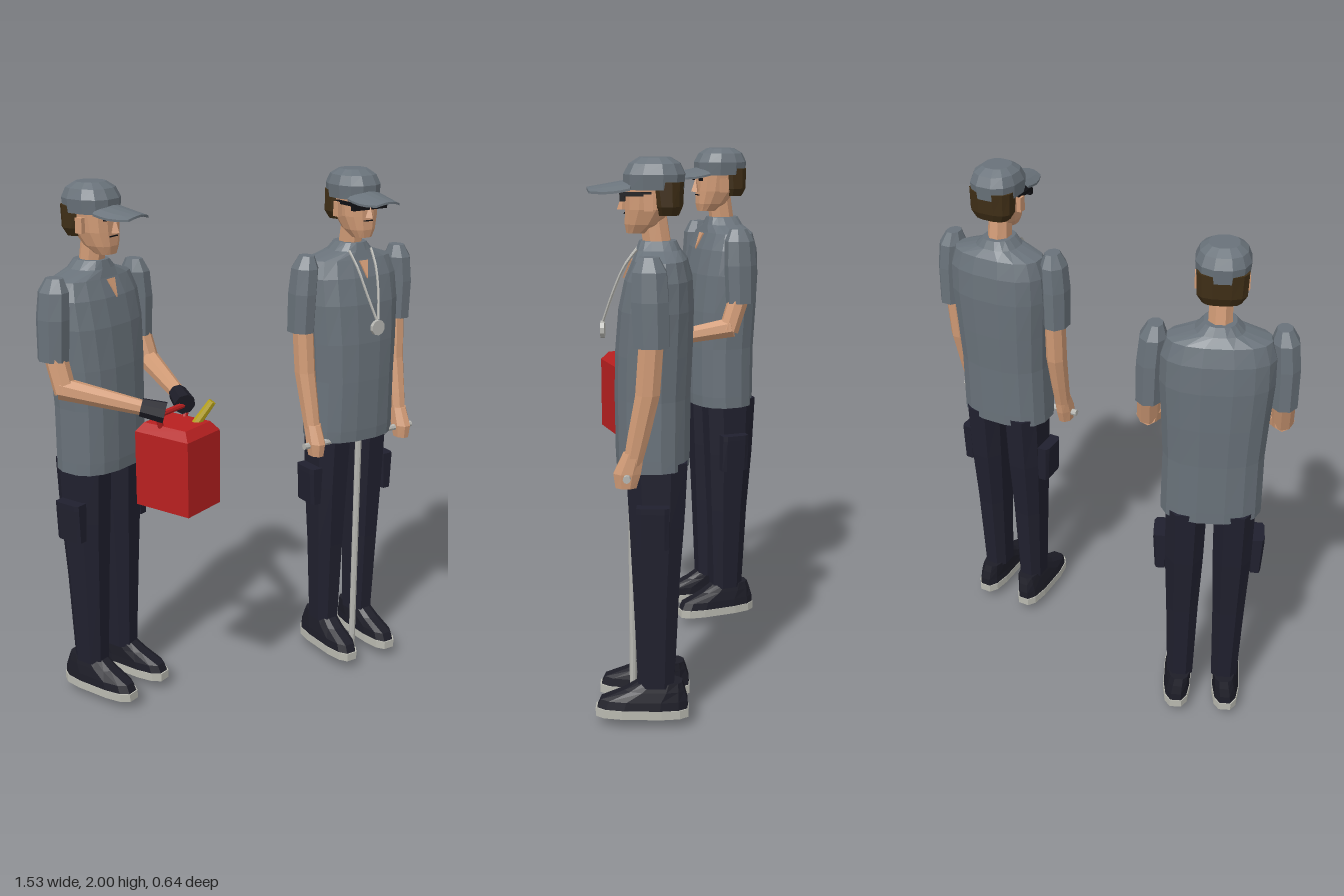
import * as THREE from 'three';

const mat = (name, color) => Object.assign(new THREE.MeshStandardMaterial({ color }), { name });
const M = {
  shirt: mat('slate cloth', 0x69727a), pants: mat('dark navy cloth', 0x20202e),
  shoe: mat('dark leather', 0x1d1d27), skin: mat('skin', 0xd19b76),
  hair: mat('brown hair', 0x3f2e16), sole: mat('pale rubber', 0xb9b9b0),
  silver: mat('silver', 0xb5b5b0), red: mat('red paint', 0xb82020),
  yellow: mat('yellow plastic', 0xb5a017), black: mat('black', 0x101014),
};

// Faceted mesh: every face gets its own normal
function add(parent, name, geo, material) {
  const g = geo.index ? geo.toNonIndexed() : geo;
  g.computeVertexNormals();
  const m = new THREE.Mesh(g, material);
  m.name = name;
  parent.add(m);
  return m;
}

// Closed solid through horizontal rings, rows of [y, centreX, centreZ, halfWidth, halfDepth]
function loft(rows, n = 8, p = 1) {
  const pos = [], idx = [];
  const pw = v => Math.sign(v) * Math.abs(v) ** p;
  for (const [y, cx, cz, rx, rz] of rows)
    for (let i = 0; i < n; i++) {
      const a = (i + 0.5) / n * Math.PI * 2;
      pos.push(cx + rx * pw(Math.cos(a)), y, cz + rz * pw(Math.sin(a)));
    }
  for (let r = 0; r < rows.length - 1; r++)
    for (let i = 0; i < n; i++) {
      const a = r * n + i, b = r * n + (i + 1) % n;
      idx.push(a, a + n, b, b, a + n, b + n);
    }
  const top = (rows.length - 1) * n;
  for (let i = 1; i < n - 1; i++) idx.push(0, i, i + 1, top, top + i + 1, top + i);
  const g = new THREE.BufferGeometry();
  g.setAttribute('position', new THREE.Float32BufferAttribute(pos, 3));
  g.setIndex(idx);
  return g;
}

// Rows of [y, halfWidth, front, back] centred on x = 0
const body = (rows, n, p) => loft(rows.map(([y, w, f, b]) => [y, 0, (f + b) / 2, w, (f - b) / 2]), n, p);

// Tapered rod between two points
function rod(a, b, ra, rb, n = 8) {
  const A = new THREE.Vector3(...a), d = new THREE.Vector3(...b).sub(A);
  const g = new THREE.CylinderGeometry(rb, ra, d.length(), n);
  g.applyQuaternion(new THREE.Quaternion().setFromUnitVectors(new THREE.Vector3(0, 1, 0), d.clone().normalize()));
  return g.translate(A.x + d.x / 2, A.y + d.y / 2, A.z + d.z / 2);
}

const box = (w, h, d, x, y, z) => new THREE.BoxGeometry(w, h, d).translate(x, y, z);

// Cap visor, tapered to the tip, arched across and sloping down
function brim() {
  const g = new THREE.BoxGeometry(0.165, 0.008, 0.15, 6, 1, 4), P = g.attributes.position;
  for (let i = 0; i < P.count; i++) {
    const t = P.getZ(i) / 0.15 + 0.5, x = P.getX(i) * (1 - 0.35 * t ** 3);
    P.setXYZ(i, x, P.getY(i) + 1.925 - 0.027 * t - 4 * x * x, 0.065 + 0.15 * t - 4 * t * x * x);
  }
  return g;
}

function head(man) {
  const h = new THREE.Group();
  h.name = 'head';
  man.add(h);
  add(h, 'neck', loft([[1.68, 0, -0.025, 0.045, 0.05], [1.81, 0, -0.005, 0.042, 0.05]]), M.skin);
  add(h, 'face', body([[1.75, 0.036, 0.084, 0.015], [1.78, 0.055, 0.09, -0.03],
    [1.83, 0.071, 0.088, -0.07], [1.92, 0.078, 0.086, -0.09]], 12, 0.75), M.skin);
  add(h, 'nose', new THREE.ConeGeometry(0.019, 0.055, 4).translate(0, 1.855, 0.096), M.skin);
  add(h, 'mouth', box(0.04, 0.004, 0.006, 0, 1.815, 0.088), M.black);
  for (const s of [-1, 1]) add(h, 'ear', box(0.018, 0.055, 0.03, s * 0.082, 1.855, 0.005), M.skin);
  add(h, 'hair', body([[1.81, 0.066, -0.015, -0.095], [1.84, 0.085, -0.005, -0.108],
    [1.92, 0.088, 0.01, -0.112]], 12, 0.75), M.hair);
  add(h, 'capCrown', body([[1.895, 0.089, 0.093, -0.113], [1.945, 0.094, 0.095, -0.117],
    [1.98, 0.08, 0.075, -0.1], [2.0, 0.052, 0.042, -0.066]], 12, 0.85), M.shirt);
  add(h, 'capBrim', brim(), M.shirt);
  return h;
}

// Parts shared by both men
function makeMan(name, x, z, turn) {
  const man = new THREE.Group();
  man.name = name;
  man.position.set(x, 0, z);
  man.rotation.y = turn;
  head(man);
  add(man, 'shirt', body([[0.955, 0.184, 0.123, -0.132], [1.0, 0.184, 0.126, -0.133], [1.2, 0.182, 0.128, -0.135],
    [1.35, 0.19, 0.125, -0.142], [1.5, 0.2, 0.112, -0.146], [1.6, 0.198, 0.09, -0.14],
    [1.665, 0.178, 0.062, -0.122], [1.695, 0.085, 0.052, -0.1], [1.725, 0.056, 0.042, -0.085]], 16, 0.8), M.shirt);
  // Open neck
  const vee = new THREE.Shape([[-0.02, 0.035], [0, -0.035], [0.02, 0.035]].map(q => new THREE.Vector2(...q)));
  const neckline = add(man, 'openNeck', new THREE.ExtrudeGeometry(vee, { depth: 0.006, bevelEnabled: false }), M.skin);
  neckline.position.set(0, 1.628, 0.079);
  neckline.rotation.x = -0.4;
  for (const s of [-1, 1]) {
    add(man, 'sleeve', loft([[1.4, s * 0.232, -0.01, 0.05, 0.062], [1.55, s * 0.23, -0.006, 0.052, 0.066],
      [1.645, s * 0.222, -0.004, 0.05, 0.06], [1.692, s * 0.216, -0.002, 0.028, 0.035]]), M.shirt);
    add(man, 'trouserLeg', loft([[0.15, s * 0.087, -0.015, 0.053, 0.068], [0.5, s * 0.088, -0.016, 0.064, 0.084],
      [0.75, s * 0.088, -0.02, 0.075, 0.1], [0.98, s * 0.087, -0.02, 0.079, 0.112]], 8, 0.8), M.pants);
    add(man, 'cargoPocket', loft([[0.69, s * 0.175, -0.01, 0.022, 0.058], [0.82, s * 0.175, -0.01, 0.03, 0.058],
      [0.84, s * 0.175, -0.01, 0.03, 0.058]], 8, 0.4), M.pants);
    add(man, 'sole', loft([[0.038, s * 0.097, 0.035, 0.055, 0.17], [0.07, s * 0.097, 0.035, 0.055, 0.17]], 12, 0.65), M.sole);
    add(man, 'shoe', loft([[0.07, s * 0.097, 0.034, 0.053, 0.166], [0.1, s * 0.096, 0.028, 0.05, 0.158],
      [0.135, s * 0.092, -0.01, 0.046, 0.11], [0.165, s * 0.088, -0.03, 0.042, 0.08]], 12, 0.7), M.shoe);
  }
  add(man, 'seat', box(0.14, 0.05, 0.19, 0, 0.965, -0.015), M.pants);
  return man;
}

// Man carrying the fuel can
function canMan() {
  const man = makeMan('manWithFuelCan', -0.5, -0.155, 0.39);
  for (const s of [-1, 1]) {
    add(man, 'upperArm', rod([s * 0.232, 1.45, -0.01], [s * 0.236, 1.29, 0.045], 0.042, 0.04), M.skin);
    add(man, 'forearm', rod([s * 0.242, 1.305, 0.03], [s * 0.095, 1.24, 0.3], 0.042, 0.027), M.skin);
    add(man, 'glove', rod([s * 0.105, 1.245, 0.28], [s * 0.058, 1.225, 0.35], 0.034, 0.04), M.shoe);
    add(man, 'eye', box(0.028, 0.012, 0.008, s * 0.034, 1.878, 0.087), M.black);
  }
  const can = new THREE.Group();
  can.name = 'fuelCan';
  can.position.z = 0.359;
  man.add(can);
  // Square tank with a chamfered top
  const k = Math.SQRT2;
  add(can, 'tank', loft([[0.865, 0, 0, 0.095 * k, 0.118 * k], [1.145, 0, 0, 0.095 * k, 0.118 * k],
    [1.178, 0, 0, 0.073 * k, 0.092 * k]], 4), M.red);
  add(can, 'handle', rod([-0.085, 1.22, -0.02], [0.085, 1.22, -0.02], 0.011, 0.011), M.red);
  for (const s of [-1, 1])
    add(can, 'handlePost', rod([s * 0.068, 1.17, -0.02], [s * 0.085, 1.22, -0.02], 0.011, 0.011), M.red);
  add(can, 'spout', rod([0.04, 1.165, 0.05], [0.082, 1.25, 0.095], 0.018, 0.015), M.yellow);
  return man;
}

// Man with the long staff
function staffMan() {
  const man = makeMan('manWithStaff', 0.484, 0.07, 0);
  for (const s of [-1, 1]) {
    add(man, 'arm', loft([[1.0, s * 0.212, 0.056, 0.03, 0.034], [1.1, s * 0.214, 0.034, 0.034, 0.04],
      [1.24, s * 0.218, 0.004, 0.04, 0.044], [1.43, s * 0.222, -0.01, 0.041, 0.044]]), M.skin);
    add(man, 'hand', loft([[0.92, s * 0.212, 0.078, 0.028, 0.038], [0.97, s * 0.212, 0.074, 0.034, 0.05],
      [1.04, s * 0.212, 0.052, 0.031, 0.038]]), M.skin);
    add(man, 'glassesArm', box(0.006, 0.014, 0.1, s * 0.079, 1.882, 0.045), M.black);
    add(man, 'lens', box(0.075, 0.034, 0.018, s * 0.041, 1.875, 0.092), M.black);
    // Neck chain
    const path = new THREE.CatmullRomCurve3([[0.052, 1.7, 0.045], [0.043, 1.64, 0.09], [0.028, 1.55, 0.13], [0.004, 1.45, 0.166]]
      .map(([x, y, z]) => new THREE.Vector3(s * x, y, z)));
    add(man, 'chain', new THREE.TubeGeometry(path, 8, 0.005, 5), M.silver);
  }
  add(man, 'pendant', new THREE.CylinderGeometry(0.03, 0.03, 0.014, 10).rotateX(Math.PI / 2).translate(0, 1.42, 0.168), M.silver);
  add(man, 'staff', rod([0, 0, 0.073], [0, 0.96, 0.073], 0.013, 0.013), M.silver);
  add(man, 'staffCrossbar', rod([-0.265, 0.96, 0.073], [0.265, 0.96, 0.073], 0.013, 0.013), M.silver);
  return man;
}

export function createModel() {
  const model = new THREE.Group();
  model.name = 'twoMen';
  model.add(canMan(), staffMan());
  return model;
}
